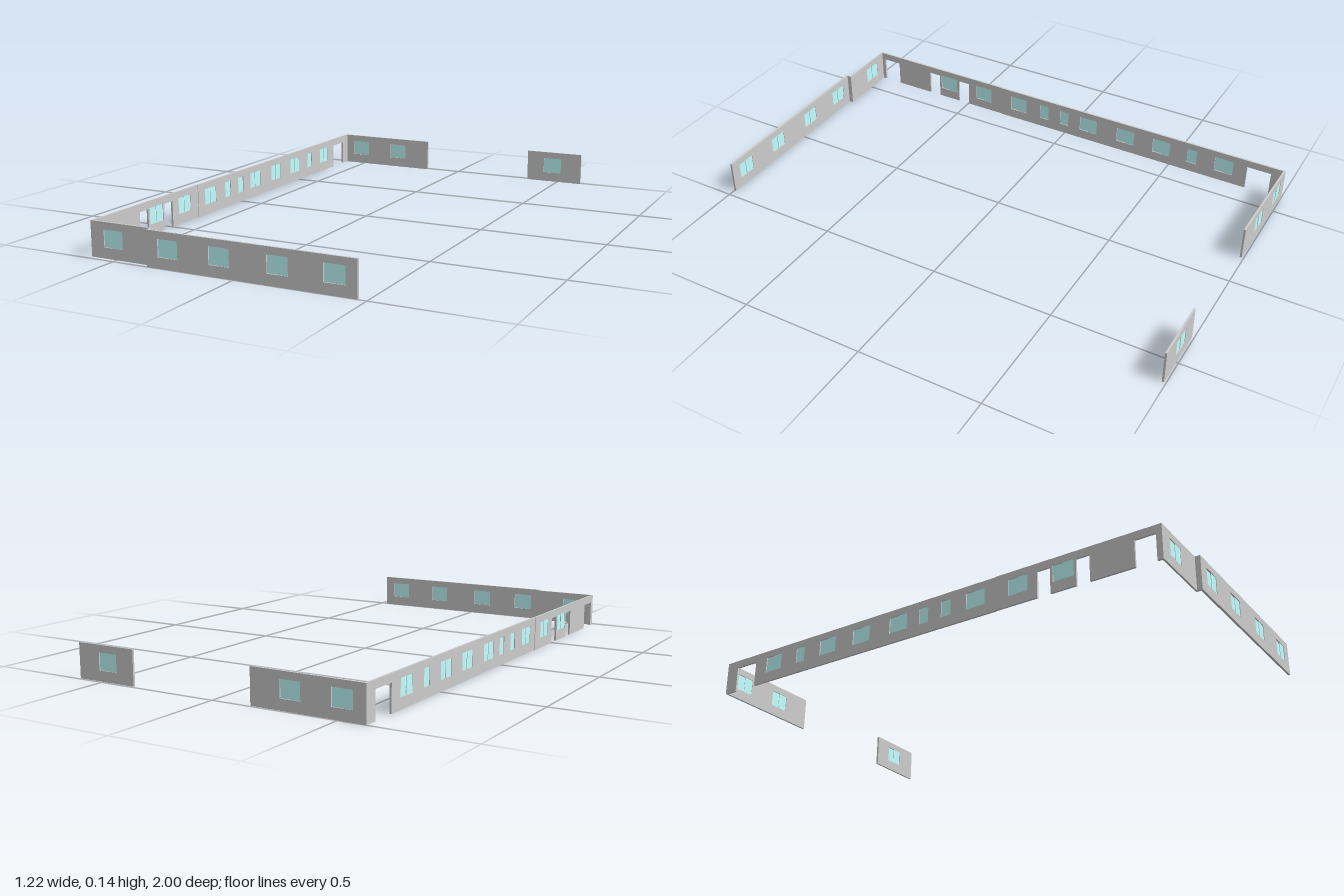
import * as THREE from 'three';

const HEIGHT = 0.135, DOOR_TOP = 0.104, SILL = 0.041, HEAD = 0.107;
const wallMaterial = new THREE.MeshStandardMaterial({ color: 0xcccccc });
const glassMaterial = new THREE.MeshStandardMaterial({ color: 0xc2ffff });

// Straight wall between two plan points [x, z]; windows and doors are
// [start, end] distances measured along the wall from the first point.
function makeWall(name, from, to, thickness, windows = [], doors = []) {
  const dx = to[0] - from[0], dz = to[1] - from[1];
  const length = Math.hypot(dx, dz);
  const group = new THREE.Group();
  group.name = name;
  group.position.set(from[0], 0, from[1]);
  group.rotation.y = Math.atan2(-dz, dx);

  // Outline with door notches cut up from the floor
  const shape = new THREE.Shape();
  shape.moveTo(0, 0);
  for (const [a, b] of doors) {
    shape.lineTo(a, 0);
    shape.lineTo(a, DOOR_TOP);
    shape.lineTo(b, DOOR_TOP);
    shape.lineTo(b, 0);
  }
  shape.lineTo(length, 0);
  shape.lineTo(length, HEIGHT);
  shape.lineTo(0, HEIGHT);
  shape.closePath();

  // Window openings
  for (const [a, b] of windows) {
    const hole = new THREE.Path();
    hole.moveTo(a, SILL);
    hole.lineTo(a, HEAD);
    hole.lineTo(b, HEAD);
    hole.lineTo(b, SILL);
    hole.closePath();
    shape.holes.push(hole);
  }
  const geometry = new THREE.ExtrudeGeometry(shape, { depth: thickness, bevelEnabled: false });
  geometry.translate(0, 0, -thickness / 2);
  const panel = new THREE.Mesh(geometry, wallMaterial);
  panel.name = 'wallPanel';
  group.add(panel);

  // Wide windows have two sliding panes, narrow ones a single pane
  for (const [a, b] of windows) {
    const count = b - a > 0.06 ? 2 : 1;
    const width = (b - a) / count;
    for (let i = 0; i < count; i++) {
      const pane = new THREE.Mesh(new THREE.BoxGeometry(width, HEAD - SILL, 0.002), glassMaterial);
      pane.name = 'windowPane';
      const offset = count === 2 ? (i - 0.5) * 0.003 : 0;
      pane.position.set(a + width * (i + 0.5), (SILL + HEAD) / 2, offset);
      group.add(pane);
    }
  }
  return group;
}

export function createModel() {
  const model = new THREE.Group();
  model.name = 'buildingWalls';

  // Turn world coordinates into distances along a wall
  const alongX = (x0, spans) => spans.map(([a, b]) => [a - x0, b - x0]);
  const alongZ = (z0, spans) => spans.map(([a, b]) => [z0 - a, z0 - b]);

  // Front walls and the short return at their step
  model.add(makeWall('frontWallSide', [-0.609, 0.976], [-0.345, 0.976], 0.007,
    alongX(-0.609, [[-0.552, -0.47]])));
  model.add(makeWall('frontWallReturn', [-0.3485, 0.9795], [-0.3485, 0.991], 0.007));
  model.add(makeWall('frontWallMain', [-0.352, 0.9955], [0.468, 0.9955], 0.009,
    alongX(-0.352, [[-0.305, -0.223], [-0.096, -0.014], [0.132, 0.213], [0.344, 0.425]])));

  // Long side wall in two sections with a slight step between them
  model.add(makeWall('sideWallFront', [-0.605, 0.9725], [-0.605, 0.323], 0.008,
    alongZ(0.9725, [[0.644, 0.56], [0.457, 0.376]]),
    alongZ(0.9725, [[0.957, 0.877], [0.706, 0.653], [0.55, 0.497]])));
  model.add(makeWall('sideWallBack', [-0.603, 0.323], [-0.603, -0.994], 0.008,
    alongZ(0.323, [[0.275, 0.195], [0.126, 0.083], [0.025, -0.016], [-0.073, -0.155],
      [-0.251, -0.333], [-0.42, -0.5], [-0.58, -0.622], [-0.702, -0.783]]),
    alongZ(0.323, [[-0.842, -0.944]])));

  // Back walls either side of the wide gap
  model.add(makeWall('backWallRight', [-0.607, -0.9955], [-0.155, -0.988], 0.008,
    alongX(-0.607, [[-0.558, -0.476], [-0.357, -0.275]])));
  model.add(makeWall('backWallLeft', [0.355, -0.988], [0.609, -0.988], 0.008,
    alongX(0.355, [[0.433, 0.515]])));

  return model;
}
